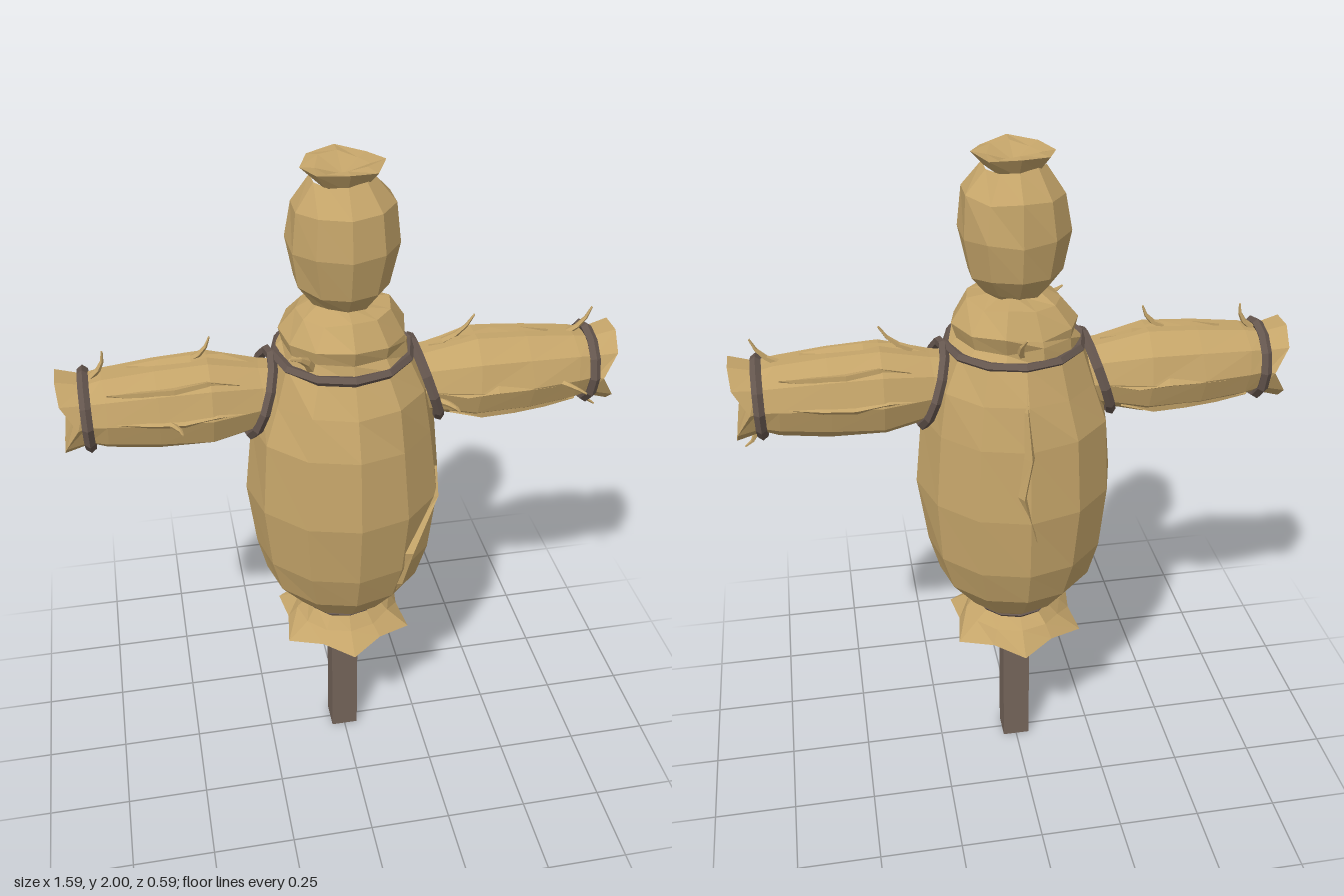
import * as THREE from 'three';

const sack = new THREE.MeshStandardMaterial({ color: 0xc4a469 });
sack.name = 'sackcloth';
const rope = new THREE.MeshStandardMaterial({ color: 0x66574f });
rope.name = 'rope';
const wood = new THREE.MeshStandardMaterial({ color: 0x75655a });
wood.name = 'wood';

// Faceted mesh: split the corners so that every face has its own normal
function facet(name, geometry, material) {
  const g = geometry.index ? geometry.toNonIndexed() : geometry;
  g.computeVertexNormals();
  const mesh = new THREE.Mesh(g, material);
  mesh.name = name;
  return mesh;
}

// Turned form, profile as [radius, height], with slightly uneven cloth
function turned(profile, sides, amp, warp) {
  const g = new THREE.LatheGeometry(profile.map(([r, y]) => new THREE.Vector2(r, y)), sides);
  const p = g.attributes.position;
  for (let i = 0; i < p.count; i++) {
    let x = p.getX(i), y = p.getY(i), z = p.getZ(i);
    const n = Math.sin(Math.round(x * 100) * 12.9 + Math.round(y * 100) * 7.3 + Math.round(z * 100) * 4.7);
    if (warp) [x, y, z] = warp(x, y, z);
    p.setXYZ(i, x * (1 + amp * n), y + (Math.hypot(x, z) > 0.01 ? amp * 0.25 * n : 0), z * (1 + amp * n));
  }
  return g;
}

function radiusAt(profile, y) {
  for (let i = 1; i < profile.length; i++) {
    const [r0, y0] = profile[i - 1], [r1, y1] = profile[i];
    if (y >= y0 && y <= y1) return r0 + (r1 - r0) * (y - y0) / (y1 - y0);
  }
  return profile[profile.length - 1][0];
}

// Tapering cloth ridge lying on a turned form; path as [angle, height], going up
function fold(profile, path, width, height) {
  const rows = path.map(([a, y], i) => {
    const t = Math.sin(Math.PI * i / (path.length - 1));
    const r = radiusAt(profile, y), d = width * (0.1 + 0.9 * t) / r;
    const at = (ang, rad) => [Math.sin(ang) * rad, y, Math.cos(ang) * rad];
    return [at(a - d, r * 0.93), at(a + d * 0.3, r + height * t), at(a + d, r * 0.93)];
  });
  const v = [];
  for (let i = 0; i + 1 < rows.length; i++) {
    for (let k = 0; k < 2; k++) {
      const a = rows[i][k], b = rows[i][k + 1], c = rows[i + 1][k + 1], d = rows[i + 1][k];
      v.push(...a, ...b, ...c, ...a, ...c, ...d);
    }
  }
  const g = new THREE.BufferGeometry();
  g.setAttribute('position', new THREE.Float32BufferAttribute(v, 3));
  return g;
}

// Bent straw from root to tip
function straw(root, tip, thick = 0.011) {
  const a = new THREE.Vector3(...root), dir = new THREE.Vector3(...tip).sub(a);
  const h = dir.length();
  const g = new THREE.CylinderGeometry(0.003, thick, h, 5, 3).translate(0, h / 2, 0);
  const p = g.attributes.position;
  for (let i = 0; i < p.count; i++) {
    const t = p.getY(i) / h;
    p.setX(i, p.getX(i) + 0.05 * t * (1 - t));
  }
  const mesh = facet('straw', g, sack);
  mesh.quaternion.setFromUnitVectors(new THREE.Vector3(0, 1, 0), dir.normalize());
  mesh.position.copy(a);
  return mesh;
}

// Upright-axis rope ring
function ring(name, r, y, tube = 0.014) {
  return facet(name, new THREE.TorusGeometry(r, tube, 5, 12).rotateX(Math.PI / 2).translate(0, y, 0), rope);
}

const bodyProfile = [[0.11, 0.565], [0.16, 0.605], [0.235, 0.7], [0.272, 0.82], [0.292, 1.02],
  [0.272, 1.24], [0.24, 1.36], [0.195, 1.46]];
const armProfile = [[0.09, 0.17], [0.1, 0.24], [0.134, 0.38], [0.128, 0.53], [0.112, 0.67],
  [0.1, 0.72], [0.118, 0.79]];

function arm(side) {
  const g = new THREE.Group();
  g.name = side > 0 ? 'leftArm' : 'rightArm';
  const lay = (geo) => geo.rotateZ(-Math.PI / 2);
  // Sleeve with a pinched, grooved end
  const pinch = (x, y, z) => {
    const r = Math.hypot(x, z);
    if (y < 0.78 || r < 0.01) return [x, y, z];
    return [x, y - 0.04 * Math.max(0, 1 - 2.2 * Math.abs(x) / r), z];
  };
  g.add(facet('sleeve', lay(turned([...armProfile, [0, 0.745]], 10, 0.02, pinch)), sack));
  // Creases around the sleeve
  [[0, 0.25, 0.6], [-Math.PI / 2, 0.25, 0.6], [Math.PI, 0.28, 0.64], [0.8, 0.3, 0.68], [-2.4, 0.3, 0.66]]
    .forEach(([a, y0, y1]) => {
      const path = [0, 1, 2, 3, 4].map((i) => [a + 0.06 * Math.sin(i * 2), y0 + (y1 - y0) * i / 4]);
      g.add(facet('sleeveCrease', lay(fold(armProfile, path, 0.018, 0.007)), sack));
    });
  // Wrist and shoulder ropes
  g.add(facet('wristRope', lay(new THREE.TorusGeometry(0.107, 0.016, 5, 12)
    .rotateX(Math.PI / 2).translate(0, 0.72, 0)), rope));
  const shoulder = facet('shoulderRope', new THREE.TorusGeometry(0.122, 0.015, 5, 12).rotateY(Math.PI / 2), rope);
  shoulder.position.x = 0.24;
  shoulder.rotation.z = 0.32;
  g.add(shoulder);
  g.position.y = 1.34;
  if (side < 0) g.rotation.y = Math.PI;
  return g;
}

export function createModel() {
  const model = new THREE.Group();
  model.name = 'sackFigure';

  // Post
  const post = facet('post', new THREE.BoxGeometry(0.085, 0.56, 0.085), wood);
  post.position.y = 0.28;
  model.add(post);

  // Stuffed body and its folds
  model.add(facet('body', turned(bodyProfile, 12, 0.025), sack));
  model.add(facet('frontFold', fold(bodyProfile,
    [[0.6, 0.61], [0.55, 0.75], [0.58, 0.88], [1.0, 1.02], [1.15, 1.1]], 0.03, 0.014), sack));
  model.add(facet('backFold', fold(bodyProfile,
    [[3.2, 0.95], [3.05, 1.1], [3.12, 1.22], [3.1, 1.35], [3.14, 1.45]], 0.024, 0.012), sack));

  // Flared hem with a ragged edge, closed underneath
  const ragged = (x, y, z) => {
    if (y > 0.5) return [x, y, z];
    const k = Math.cos(Math.atan2(x, z) * 6);
    return [x * (1 + 0.09 * k), y - 0.008 * k, z * (1 + 0.09 * k)];
  };
  model.add(facet('hem', turned([[0.03, 0.53], [0.2, 0.483], [0.15, 0.525], [0.108, 0.565]], 12, 0.025, ragged), sack));
  model.add(ring('waistRope', 0.11, 0.565, 0.012));

  // Gathered collar
  model.add(facet('collar', turned([[0.19, 1.455], [0.175, 1.495], [0.182, 1.53], [0.135, 1.595],
    [0.07, 1.615]], 11, 0.04), sack));
  model.add(ring('collarRope', 0.192, 1.458, 0.015));

  // Head with a tied tuft, hollow on top
  model.add(facet('head', turned([[0.07, 1.605], [0.09, 1.615], [0.132, 1.67], [0.153, 1.78],
    [0.14, 1.89], [0.085, 1.96]], 10, 0.025), sack));
  model.add(facet('headTuft', turned([[0.08, 1.955], [0.115, 1.997], [0.075, 1.993], [0, 1.965]], 8, 0.03), sack));

  model.add(arm(1), arm(-1));

  // Loose straws
  [
    [[-0.7, 1.44, 0], [-0.66, 1.515, 0]], [[-0.43, 1.465, 0], [-0.37, 1.53, 0]],
    [[0.29, 1.45, 0], [0.38, 1.525, 0]], [[0.66, 1.44, 0], [0.73, 1.515, 0]],
    [[0.74, 1.25, 0], [0.775, 1.185, 0]],
    [[-0.51, 1.34, 0.11], [-0.47, 1.35, 0.2]], [[0.27, 1.31, 0.1], [0.3, 1.32, 0.18]],
    [[0.61, 1.34, 0.1], [0.66, 1.35, 0.2]],
    [[-0.11, 1.48, 0.13], [-0.175, 1.535, 0.175], 0.018], [[0, 1.47, -0.15], [0, 1.545, -0.205], 0.014],
  ].forEach((s) => model.add(straw(...s)));

  return model;
}
